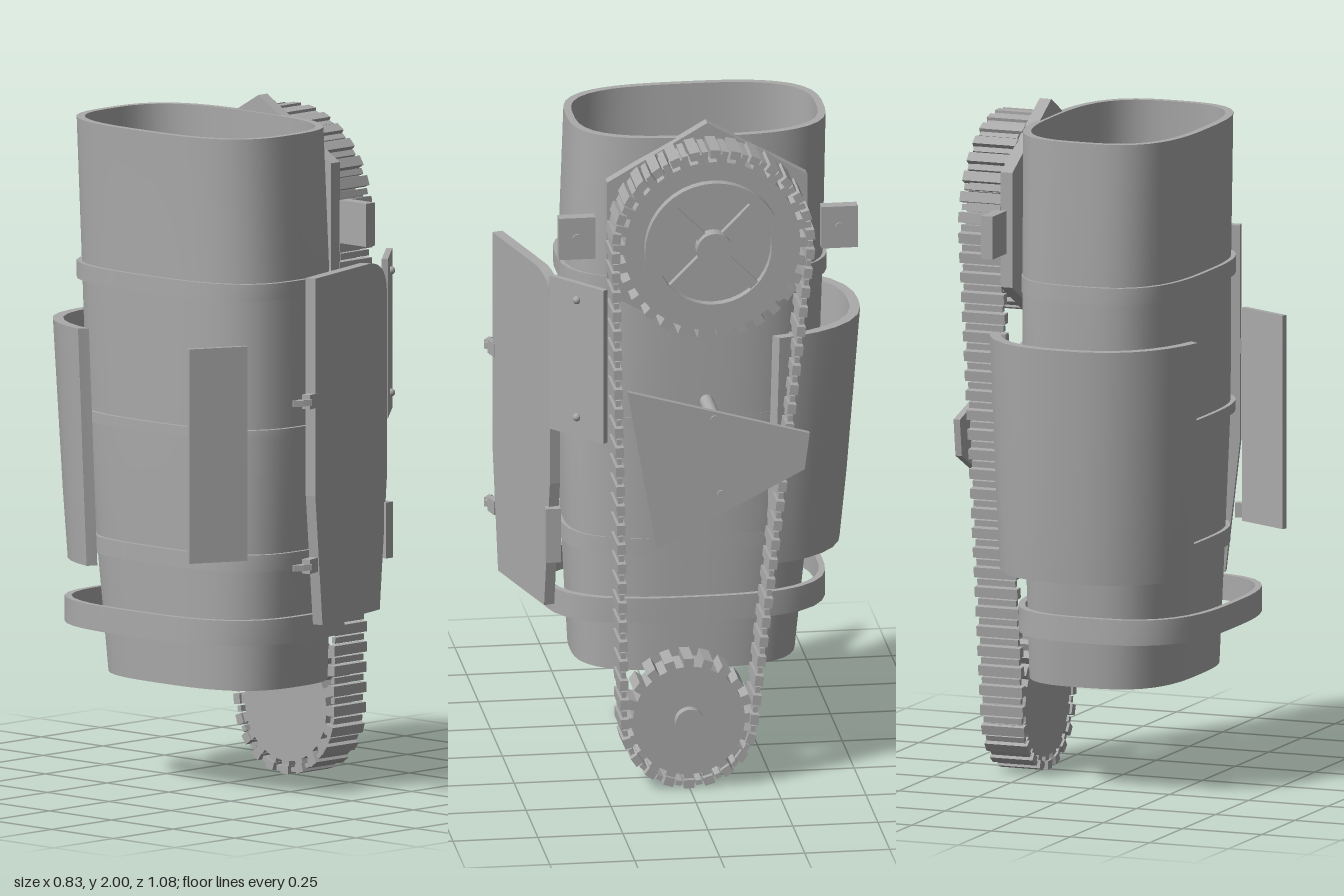
import * as THREE from 'three';
import { toCreasedNormals } from 'three/addons/utils/BufferGeometryUtils.js';

export function createModel() {
  const model = new THREE.Group();
  const grey = new THREE.MeshStandardMaterial({ color: 0xaaaaaa });
  grey.name = 'plain grey';

  const add = (parent, name, geometry, x = 0, y = 0, z = 0, ry = 0) => {
    const mesh = new THREE.Mesh(geometry, grey);
    mesh.name = name;
    mesh.position.set(x, y, z);
    mesh.rotation.y = ry;
    parent.add(mesh);
    return mesh;
  };
  const box = (w, h, d) => new THREE.BoxGeometry(w, h, d);
  const extrude = (shape, depth) =>
    new THREE.ExtrudeGeometry(shape, { depth, bevelEnabled: false, curveSegments: 20 });
  const polygon = (pts) => new THREE.Shape(pts.map(([x, y]) => new THREE.Vector2(x, y)));

  // Joins matching cross-section loops; open lofts get end caps
  function loft(sections, closed) {
    const n = sections[0].length, m = sections.length, index = [];
    for (let i = 0; i < (closed ? m : m - 1); i++) {
      for (let j = 0; j < n; j++) {
        const k = (j + 1) % n, i2 = (i + 1) % m;
        const a = i * n + j, b = i * n + k, c = i2 * n + j, d = i2 * n + k;
        index.push(a, b, c, b, d, c);
      }
    }
    if (!closed) {
      const e = (m - 1) * n;
      for (let k = 1; k < n - 1; k++) index.push(0, k + 1, k, e, e + k, e + k + 1);
    }
    const g = new THREE.BufferGeometry();
    g.setAttribute('position', new THREE.Float32BufferAttribute(sections.flat(2), 3));
    g.setIndex(index);
    return toCreasedNormals(g, 0.6);
  }

  // Rounded-oblong sleeve; levels are [y, minX, maxX, minZ, maxZ]
  function sleeve(levels, wall, power, segments, from = 0, to = Math.PI * 2) {
    const closed = to - from > 6.28, sections = [];
    for (let i = 0; i < segments + (closed ? 0 : 1); i++) {
      const t = from + (to - from) * i / segments, c = Math.cos(t), s = Math.sin(t);
      const at = ([y, x0, x1, z0, z1], inset) => {
        const a = (x1 - x0) / 2 - inset, b = (z1 - z0) / 2 - inset;
        const r = (Math.abs(c / a) ** power + Math.abs(s / b) ** power) ** (-1 / power);
        return [(x0 + x1) / 2 + r * c, y, (z0 + z1) / 2 + r * s];
      };
      sections.push([...levels.map((l) => at(l, 0)), ...[...levels].reverse().map((l) => at(l, wall))]);
    }
    return loft(sections, closed);
  }

  // Main sleeve
  const bodyLevels = [
    [0.32, -0.25, 0.22, -0.355, 0.3], [0.7, -0.265, 0.22, -0.395, 0.32],
    [1.08, -0.28, 0.22, -0.425, 0.333], [1.5, -0.285, 0.215, -0.44, 0.325],
    [1.95, -0.3, 0.21, -0.45, 0.307],
  ];
  add(model, 'sleeve', sleeve(bodyLevels, 0.022, 3, 56));

  // Thin bands around the sleeve
  [[1, 0.05], [2, 0.03], [3, 0.05]].forEach(([i, h]) => {
    const [y, x0, x1, z0, z1] = bodyLevels[i], o = 0.013;
    const level = (yy) => [yy, x0 - o, x1, z0 - o, z1 + o];
    add(model, 'band', sleeve([level(y - h / 2), level(y + h / 2)], 0.02, 3, 56));
  });

  // Loose hoop near the bottom
  add(model, 'hoop', sleeve([0.47, 0.545].map((y) => [y, -0.368, 0.235, -0.45, 0.385]), 0.018, 3, 48));

  // Curved shield at the back
  add(model, 'backShield', sleeve([
    [0.65, -0.345, 0.295, -0.49, 0.35], [0.85, -0.352, 0.302, -0.51, 0.375],
    [1.35, -0.365, 0.315, -0.55, 0.41],
  ], 0.03, 2.5, 14, 3.7, 5.72));

  // Front panel with a rounded upper corner and tapering foot
  const panelShape = new THREE.Shape();
  panelShape.moveTo(-0.172, -0.515);
  panelShape.lineTo(0.172, -0.515);
  panelShape.lineTo(0.215, -0.13);
  panelShape.lineTo(0.215, 0.41);
  panelShape.quadraticCurveTo(0.215, 0.512, 0.1, 0.512);
  panelShape.lineTo(-0.215, 0.512);
  panelShape.lineTo(-0.215, -0.13);
  const panel = new THREE.Group();
  panel.name = 'frontPanel';
  panel.position.set(0.043, 1.048, 0.436);
  panel.rotation.y = 0.262;
  model.add(panel);
  add(panel, 'frontPanelPlate', extrude(panelShape, 0.032), 0, 0, -0.016);

  // Latches on the free edge of the panel
  [1.2, 0.715].forEach((y) => {
    const latch = new THREE.Group();
    latch.name = 'latch';
    latch.position.set(-0.225, y - 1.048, 0.004);
    panel.add(latch);
    add(latch, 'latchBlock', box(0.05, 0.042, 0.026));
    add(latch, 'latchArm', box(0.045, 0.018, 0.014), -0.04, 0, 0.002, -0.75);
    add(latch, 'latchTip', box(0.03, 0.018, 0.012), -0.062, 0, -0.006, -0.85);
  });

  // Angled side plates beside the panel
  add(model, 'leftFlap', box(0.21, 0.47, 0.018), 0.332, 1.325, 0.322, 0.705);
  [1.51, 1.15].forEach((y) =>
    add(model, 'flapRivet', new THREE.SphereGeometry(0.012, 12, 8), 0.342, y, 0.329));
  add(model, 'rightFlap', box(0.18, 0.632, 0.016), -0.33, 1.035, 0.275, -0.464);
  add(model, 'hingeBlock', box(0.03, 0.165, 0.045), 0.252, 0.763, 0.387);

  // Drive side: local x is toward the back, local z is outward (+x)
  const drive = new THREE.Group();
  drive.name = 'drive';
  drive.rotation.y = Math.PI / 2;
  model.add(drive);
  const disc = (name, r, depth, s, y, d) => {
    const g = new THREE.CylinderGeometry(r, r, depth, 32).rotateX(Math.PI / 2);
    return add(drive, name, g, s, y, d + depth / 2);
  };
  const top = { s: 0.07, y: 1.66 }, low = { s: 0, y: 0.205 };

  // Hexagonal mounting plate and its bolted lugs
  const hex = Array.from({ length: 6 }, (_, i) => {
    const a = Math.PI / 2 + i * Math.PI / 3;
    return [0.34 * Math.cos(a), 0.34 * Math.sin(a)];
  });
  add(drive, 'mountingPlate', extrude(polygon(hex), 0.037), top.s, top.y, 0.198);
  [-0.312, 0.46].forEach((s) => {
    add(drive, 'lug', box(0.107, 0.127, 0.037), s, 1.662, 0.217);
    disc('lugBolt', 0.015, 0.008, s, 1.662, 0.234);
  });

  // Toothed wheels
  function gear(root, tip, teeth) {
    const pts = [], step = Math.PI * 2 / teeth;
    for (let i = 0; i < teeth; i++) {
      [[-0.27, root], [-0.25, tip], [0.25, tip], [0.27, root]].forEach(([f, r]) => {
        const a = (i + f) * step;
        pts.push([r * Math.cos(a), r * Math.sin(a)]);
      });
    }
    return extrude(polygon(pts), 0.11);
  }
  add(drive, 'upperWheel', gear(0.258, 0.284, 30), top.s, top.y, 0.24);
  add(drive, 'lowerWheel', gear(0.165, 0.19, 20), low.s, low.y, 0.24);
  disc('lowerHub', 0.043, 0.045, low.s, low.y, 0.335);

  // Rim, spokes and hub of the upper wheel
  const rim = new THREE.Shape().absarc(0, 0, 0.202, 0, Math.PI * 2);
  rim.holes.push(new THREE.Path().absarc(0, 0, 0.17, 0, Math.PI * 2, true));
  add(drive, 'wheelRim', toCreasedNormals(extrude(rim, 0.034), 0.5), top.s, top.y, 0.345);
  [1, -1].forEach((side) => {
    add(drive, 'wheelSpokes', box(0.35, 0.03, 0.024), top.s, top.y, 0.358).rotation.z = side * Math.PI / 4;
  });
  disc('upperHub', 0.052, 0.055, top.s, top.y, 0.34);

  // Track of slats and links around both wheels
  const R = 0.287, r = 0.19;
  const axis = Math.atan2(top.y - low.y, top.s - low.s);
  const spread = Math.acos((r - R) / Math.hypot(top.s - low.s, top.y - low.y));
  const path = new THREE.Path();
  path.absarc(top.s, top.y, R, axis - spread, axis + spread);
  path.absarc(low.s, low.y, r, axis + spread, axis - spread + Math.PI * 2);
  path.closePath();
  const slat = box(0.03, 0.025, 0.135), link = box(0.018, 0.014, 0.12);
  const count = 148;
  for (let i = 0; i < count; i++) {
    const p = path.getPoint(i / count), t = path.getTangent(i / count);
    const isSlat = i % 2 === 0;
    const piece = add(drive, isSlat ? 'trackSlat' : 'trackLink', isSlat ? slat : link, p.x, p.y, 0.3);
    piece.rotation.z = Math.atan2(t.y, t.x);
  }

  // Outer guard plate on two posts
  const guard = polygon([[-0.185, 1.235], [-0.1, 0.75], [0.335, 0.975], [0.35, 1.085]]);
  add(drive, 'guardPlate', extrude(guard, 0.02), 0, 0, 0.37);
  [[0.07, 1.14], [0.09, 0.91]].forEach(([s, y]) => {
    disc('guardPost', 0.02, 0.18, s, y, 0.195);
    disc('guardBolt', 0.013, 0.008, s, y, 0.389);
  });

  return model;
}
